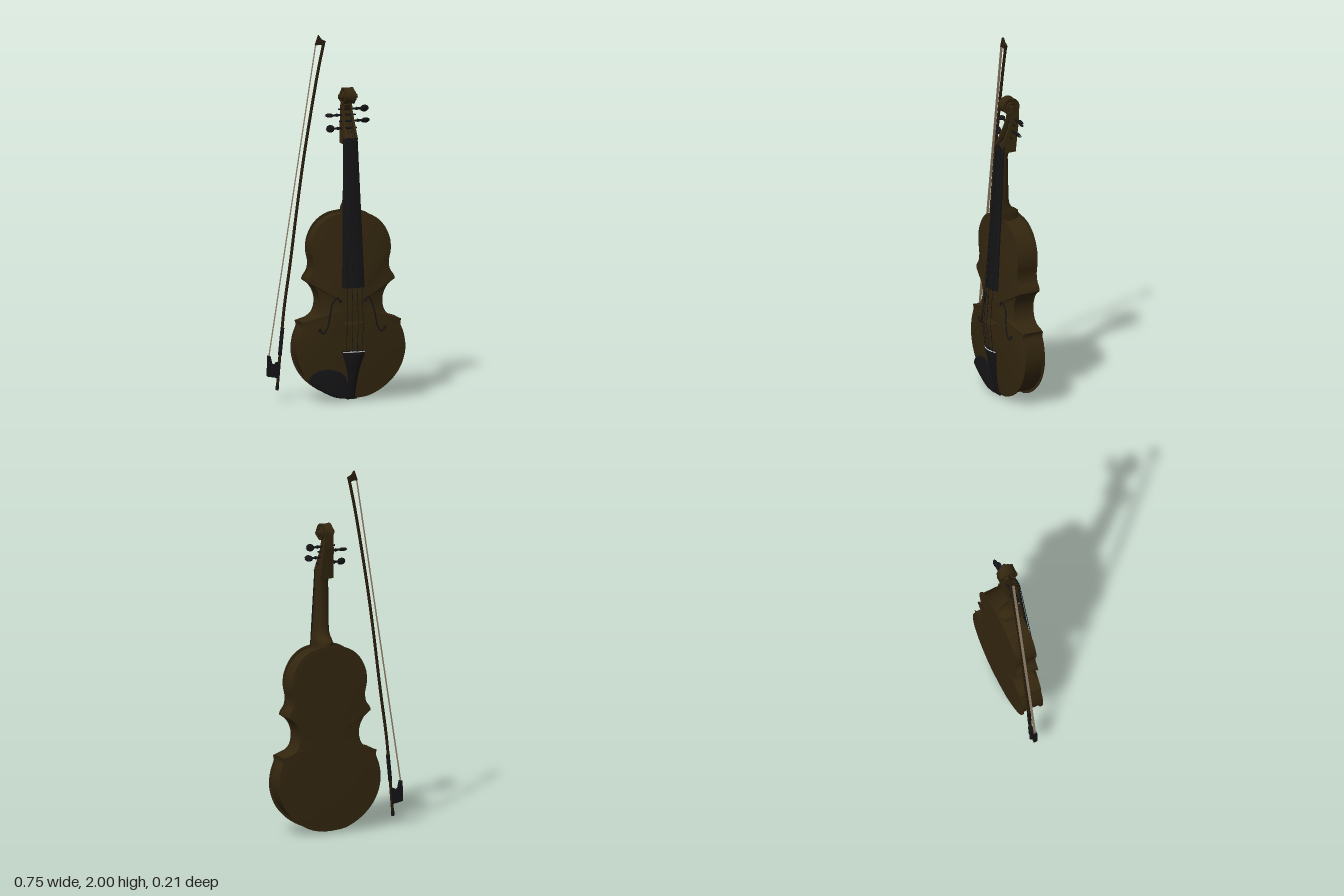
import * as THREE from 'three';
import { toCreasedNormals } from 'three/addons/utils/BufferGeometryUtils.js';

const V = (x, y, z = 0) => new THREE.Vector3(x, y, z);
const mat = (color) => new THREE.MeshStandardMaterial({ color, side: THREE.DoubleSide });
const wood = mat(0x33260f), ebony = mat(0x141416), stickWood = mat(0x281c0c);
const hairMat = mat(0x94826c), metal = mat(0xcccccc);

function add(parent, name, geometry, material, x = 0, y = 0, z = 0) {
  const m = new THREE.Mesh(geometry, material);
  m.name = name;
  m.position.set(x, y, z);
  parent.add(m);
  return m;
}

// Skin a series of closed rings, with optional end caps
function loft(rings, capped = true, crease = 0.6) {
  const n = rings[0].length, pos = [], idx = [];
  rings.forEach((r) => r.forEach((p) => pos.push(p.x, p.y, p.z)));
  for (let i = 0; i < rings.length - 1; i++) {
    for (let j = 0; j < n; j++) {
      const a = i * n + j, b = i * n + (j + 1) % n;
      idx.push(a, b, a + n, b, b + n, a + n);
    }
  }
  if (capped) {
    [0, rings.length - 1].forEach((k) => {
      const c = rings[k].reduce((s, p) => s.add(p), V(0, 0)).divideScalar(n);
      const ci = pos.length / 3;
      pos.push(c.x, c.y, c.z);
      for (let j = 0; j < n; j++) {
        const a = k * n + j, b = k * n + (j + 1) % n;
        k ? idx.push(a, b, ci) : idx.push(b, a, ci);
      }
    });
  }
  const g = new THREE.BufferGeometry();
  g.setAttribute('position', new THREE.Float32BufferAttribute(pos, 3));
  g.setIndex(idx);
  return toCreasedNormals(g, crease);
}

const spline = (pts) => new THREE.CatmullRomCurve3(pts.map((p) => V(...p)));
const tube = (pts, r, seg = 40, sides = 8) => new THREE.TubeGeometry(spline(pts), seg, r, sides);
const poly = (pts) => new THREE.Shape(pts.map((p) => new THREE.Vector2(...p)));
const extrude = (shape, depth, bevel = 0) => new THREE.ExtrudeGeometry(shape, {
  depth, bevelEnabled: bevel > 0, bevelSize: bevel, bevelThickness: bevel, bevelSegments: 3, curveSegments: 16 });

// Body outline: lower bout, waist and upper bout, meeting at sharp corners
const half = [
  [[0, 0.012], [0.1, 0.025], [0.2, 0.08], [0.275, 0.165], [0.308, 0.27], [0.298, 0.36], [0.279, 0.415], [0.285, 0.438]],
  [[0.285, 0.438], [0.235, 0.452], [0.193, 0.484], [0.177, 0.537], [0.183, 0.585], [0.209, 0.632], [0.248, 0.662]],
  [[0.248, 0.662], [0.243, 0.68], [0.22, 0.715], [0.214, 0.76], [0.225, 0.82], [0.219, 0.89], [0.177, 0.97], [0.108, 1.02], [0, 1.04]],
].flatMap((s) => spline(s).getPoints(28).slice(0, -1)).concat(V(0, 1.04));
const outline = [...half, ...half.slice(1, -1).reverse().map((p) => V(-p.x, p.y))];
const MID = 0.52;
const ring = (t, z) => outline.map((p) => V(p.x * t, MID + (p.y - MID) * t, z));
const arch = (t) => 0.021 + 0.029 * (1 - t * t);

// Height of the arched top plate at a point
function bellyZ(x, y) {
  const a = Math.atan2(y - MID, Math.abs(x));
  const near = half.reduce((best, p) =>
    Math.abs(Math.atan2(p.y - MID, p.x) - a) < Math.abs(Math.atan2(best.y - MID, best.x) - a) ? p : best);
  return arch(Math.hypot(x, y - MID) / Math.hypot(near.x, near.y - MID));
}

// Bar with a flat underside and crowned top; stations are [y, halfWidth, zUnder, zEdge, crown]
const crownedBar = (stations) => loft(stations.map(([y, w, z0, z1, c]) => {
  const r = [V(-w, y, z0)];
  for (let i = 0; i <= 10; i++) { const u = i / 5 - 1; r.push(V(u * w, y, z1 + c * (1 - u * u))); }
  return [...r, V(w, y, z0)];
}));

function buildBody(g) {
  add(g, 'ribs', loft([ring(0.97, -0.097), ring(0.97, 0.016)], false), wood);
  const top = [1, 0.96, 0.9, 0.8, 0.7, 0.55, 0.4, 0.25, 0.1, 0.01].map((t) => ring(t, arch(t)));
  add(g, 'topPlate', loft([ring(0.95, 0.012), ring(1, 0.012), ...top], false), wood);
  add(g, 'backPlate', loft([ring(0.95, -0.094), ring(1, -0.094), ring(1, -0.1), ring(0.9, -0.102), ring(0.01, -0.104)], false), wood);
  // Sound holes lie on the arched top
  const f = [[0.07, 0.553], [0.088, 0.572], [0.112, 0.54], [0.128, 0.475], [0.142, 0.41], [0.165, 0.378], [0.184, 0.398]];
  [-1, 1].forEach((s) => {
    const pts = f.map(([x, y]) => [s * x, y, bellyZ(x, y)]);
    add(g, 'soundHole', tube(pts, 0.004), ebony);
    [pts[0], pts[6]].forEach((p) => add(g, 'soundHoleEnd', new THREE.SphereGeometry(0.009, 16, 10), ebony, ...p).scale.z = 0.4);
  });
  // Chin rest
  const rest = new THREE.Shape();
  rest.moveTo(-0.022, 0.018);
  rest.splineThru([[-0.025, 0.08], [-0.05, 0.142], [-0.115, 0.172], [-0.18, 0.17], [-0.222, 0.148], [-0.24, 0.118]].map((p) => new THREE.Vector2(...p)));
  rest.splineThru([[-0.19, 0.078], [-0.1, 0.03], [-0.022, 0.018]].map((p) => new THREE.Vector2(...p)));
  add(g, 'chinRest', toCreasedNormals(extrude(rest, 0.018, 0.005), 0.6), ebony, 0, 0, 0.017);
  add(g, 'endButton', new THREE.CylinderGeometry(0.01, 0.014, 0.03, 16), ebony, 0, 0.015, -0.04);
  add(g, 'saddle', new THREE.BoxGeometry(0.06, 0.015, 0.018), ebony, 0, 0.018, 0.02);
}

function buildNeck(g) {
  // Stations: [y, zFront, zBack, halfWidth]
  const stations = [[1.0, 0.03, -0.1, 0.052], [1.055, 0.03, -0.098, 0.05], [1.065, 0.029, -0.085, 0.05], [1.08, 0.028, -0.06, 0.048],
    [1.1, 0.027, -0.044, 0.046], [1.14, 0.025, -0.037, 0.044], [1.38, 0.01, -0.032, 0.038], [1.42, 0.008, -0.045, 0.037]];
  add(g, 'neck', loft(stations.map(([y, zf, zb, w]) => Array.from({ length: 15 }, (_, i) => {
    const a = Math.PI * i / 14;
    return V(w * Math.cos(a), y, zf - (zf - zb) * Math.pow(Math.sin(a), 0.8));
  }))), wood);
  add(g, 'fingerboard', crownedBar([[0.627, 0.063, 0.056, 0.064, 0.015], [1.43, 0.04, 0.004, 0.011, 0.009]]), ebony);
  add(g, 'nut', crownedBar([[1.43, 0.04, 0, 0.014, 0.01], [1.442, 0.039, 0, 0.013, 0.01]]), ebony);

  // Hollow pegbox: two cheeks and a floor, tapering upward
  const cheek = [[0.003, 1.408], [0.018, 1.44], [0.003, 1.475], [-0.022, 1.53], [-0.042, 1.58], [-0.045, 1.62], [-0.07, 1.66], [-0.096, 1.65], [-0.092, 1.58], [-0.079, 1.5], [-0.065, 1.408]];
  const floor = [[0.003, 1.408], [0.012, 1.442], [-0.03, 1.46], [-0.055, 1.53], [-0.065, 1.585], [-0.05, 1.615], [-0.07, 1.66], [-0.096, 1.65], [-0.092, 1.58], [-0.079, 1.5], [-0.065, 1.408]];
  [[cheek, 0.014, 0.04], [cheek, 0.014, -0.026], [floor, 0.056, 0.028]].forEach(([pts, d, x]) => {
    const geo = extrude(poly(pts), d).rotateY(-Math.PI / 2).translate(x, 0, 0);
    const p = geo.attributes.position;
    for (let i = 0; i < p.count; i++) p.setX(i, p.getX(i) * (1 - 0.36 * (p.getY(i) - 1.42) / 0.2));
    geo.computeVertexNormals();
    add(g, pts === floor ? 'pegboxFloor' : 'pegboxCheek', geo, wood);
  });

  // Scroll: a spiral band that widens toward its eye
  const turns = [];
  for (let i = 0; i <= 90; i++) {
    const u = i / 90, a = Math.PI + 0.5 - u * Math.PI * 4.6;
    const r = 0.059 - 0.043 * Math.pow(u, 0.85), w = 0.023 + 0.027 * u;
    const at = (x, q) => V(x, 1.662 + q * Math.sin(a), -0.041 + q * Math.cos(a));
    turns.push([at(-w, r), at(-w * 0.5, r * 0.95), at(w * 0.5, r * 0.95), at(w, r), at(w, r * 0.72), at(w * 0.7, r * 0.4), at(-w * 0.7, r * 0.4), at(-w, r * 0.72)]);
  }
  add(g, 'scroll', loft(turns), wood);
  add(g, 'scrollEye', new THREE.CylinderGeometry(0.012, 0.012, 0.106, 16).rotateZ(Math.PI / 2), wood, 0, 1.662, -0.041);

  // Tuning pegs
  const profile = [[0, -0.048], [0.005, -0.048], [0.006, 0.05], [0.01, 0.058], [0.006, 0.066], [0.005, 0.085], [0, 0.09]].map((p) => new THREE.Vector2(...p));
  [[1.59, -0.064, 1, 0.3], [1.56, -0.054, -1, 1.4], [1.527, -0.046, 1, 0.8], [1.49, -0.036, -1, 0.2]].forEach(([y, z, s, turn]) => {
    const peg = new THREE.Group();
    peg.name = 'tuningPeg';
    add(peg, 'pegShaft', new THREE.LatheGeometry(profile, 16), ebony);
    add(peg, 'pegHead', new THREE.SphereGeometry(0.024, 20, 14).scale(0.85, 1, 0.42), ebony, 0, 0.101, 0);
    add(peg, 'pegPip', new THREE.SphereGeometry(0.004, 10, 8), metal, 0, 0.125, 0);
    peg.children.forEach((m) => { m.rotation.y = turn; });
    peg.rotation.z = -s * Math.PI / 2;
    peg.position.set(0, y, z);
    g.add(peg);
  });
}

function buildStrings(g) {
  // Bridge with arched crown, two feet and cut-outs
  const b = new THREE.Shape();
  b.moveTo(-0.065, 0.04);
  b.lineTo(-0.03, 0.04);
  b.quadraticCurveTo(0, 0.072, 0.03, 0.04);
  b.lineTo(0.065, 0.04);
  b.quadraticCurveTo(0.045, 0.06, 0.064, 0.085);
  b.quadraticCurveTo(0, 0.116, -0.064, 0.085);
  b.quadraticCurveTo(-0.045, 0.06, -0.065, 0.04);
  [-0.034, 0.034].forEach((x) => b.holes.push(new THREE.Path().absarc(x, 0.07, 0.008, 0, Math.PI * 2, true)));
  b.holes.push(new THREE.Path().absarc(0, 0.079, 0.008, 0, Math.PI * 2, true));
  add(g, 'bridge', extrude(b, 0.008).rotateX(Math.PI / 2), wood, 0, 0.437, 0);
  add(g, 'tailpiece', crownedBar([[0.018, 0.018, 0.024, 0.028, 0.006], [0.08, 0.022, 0.036, 0.041, 0.008], [0.14, 0.028, 0.046, 0.052, 0.01],
    [0.2, 0.041, 0.056, 0.062, 0.012], [0.26, 0.061, 0.064, 0.069, 0.013], [0.282, 0.065, 0.066, 0.07, 0.013]]), ebony);
  add(g, 'tailpieceFret', tube([-1, -0.5, 0, 0.5, 1].map((u) => [u * 0.062, 0.276, 0.071 + 0.013 * (1 - u * u)]), 0.003, 16), metal);
  [-1, -1 / 3, 1 / 3, 1].forEach((u) => {
    const path = new THREE.CurvePath();
    const nut = V(u * 0.026, 1.44, 0.024 - 0.004 * u * u), br = V(u * 0.046, 0.433, 0.102 - 0.008 * u * u), tail = V(u * 0.044, 0.274, 0.085 - 0.007 * u * u);
    path.add(new THREE.LineCurve3(nut, br));
    path.add(new THREE.LineCurve3(br, tail));
    add(g, 'string', new THREE.TubeGeometry(path, 60, 0.0016, 6), ebony);
    add(g, 'stringEnd', new THREE.TubeGeometry(new THREE.LineCurve3(nut, V(u * 0.018, 1.525 + u * 0.03, -0.045)), 2, 0.0016, 6), ebony);
  });
}

function buildBow(g) {
  const pts = [[-0.32, 0.075], [-0.305, 0.257], [-0.283, 0.495], [-0.246, 0.76], [-0.209, 1.05], [-0.172, 1.315], [-0.124, 1.606], [-0.087, 1.81], [-0.056, 1.955]];
  add(g, 'bowStick', tube(pts, 0.008, 80, 10), stickWood);
  add(g, 'bowGrip', tube([[-0.306, 0.25], [-0.299, 0.32], [-0.291, 0.4]], 0.0105, 12, 12), ebony);
  add(g, 'bowScrew', new THREE.CylinderGeometry(0.009, 0.009, 0.03, 12), ebony, -0.3205, 0.074, 0).rotation.z = -0.08;
  const head = [[-0.087, 2], [-0.07, 1.976], [-0.046, 1.964], [-0.056, 1.935], [-0.075, 1.945], [-0.106, 1.944], [-0.098, 1.968]];
  add(g, 'bowHead', extrude(poly(head), 0.013), stickWood, 0, 0, -0.0065);
  const frog = [[-0.375, 0.25], [-0.362, 0.25], [-0.352, 0.208], [-0.335, 0.2], [-0.326, 0.212], [-0.306, 0.214], [-0.314, 0.125], [-0.378, 0.137]];
  add(g, 'bowFrog', extrude(poly(frog), 0.022), ebony, 0, 0, -0.011);
  // Flat ribbon of hair from frog to head
  const a = V(-0.37, 0.235), b = V(-0.102, 1.948), d = b.clone().sub(a);
  const hair = add(g, 'bowHair', new THREE.BoxGeometry(0.0025, d.length(), 0.014), hairMat, (a.x + b.x) / 2, (a.y + b.y) / 2, 0);
  hair.rotation.z = -Math.atan2(d.x, d.y);
}

export function createModel() {
  const model = new THREE.Group(), violin = new THREE.Group(), bow = new THREE.Group();
  model.name = 'violinAndBow';
  violin.name = 'violin';
  bow.name = 'bow';
  buildBody(violin);
  buildNeck(violin);
  buildStrings(violin);
  buildBow(bow);
  violin.position.x = 0.065;
  bow.position.z = -0.091;
  model.add(violin, bow);
  return model;
}
